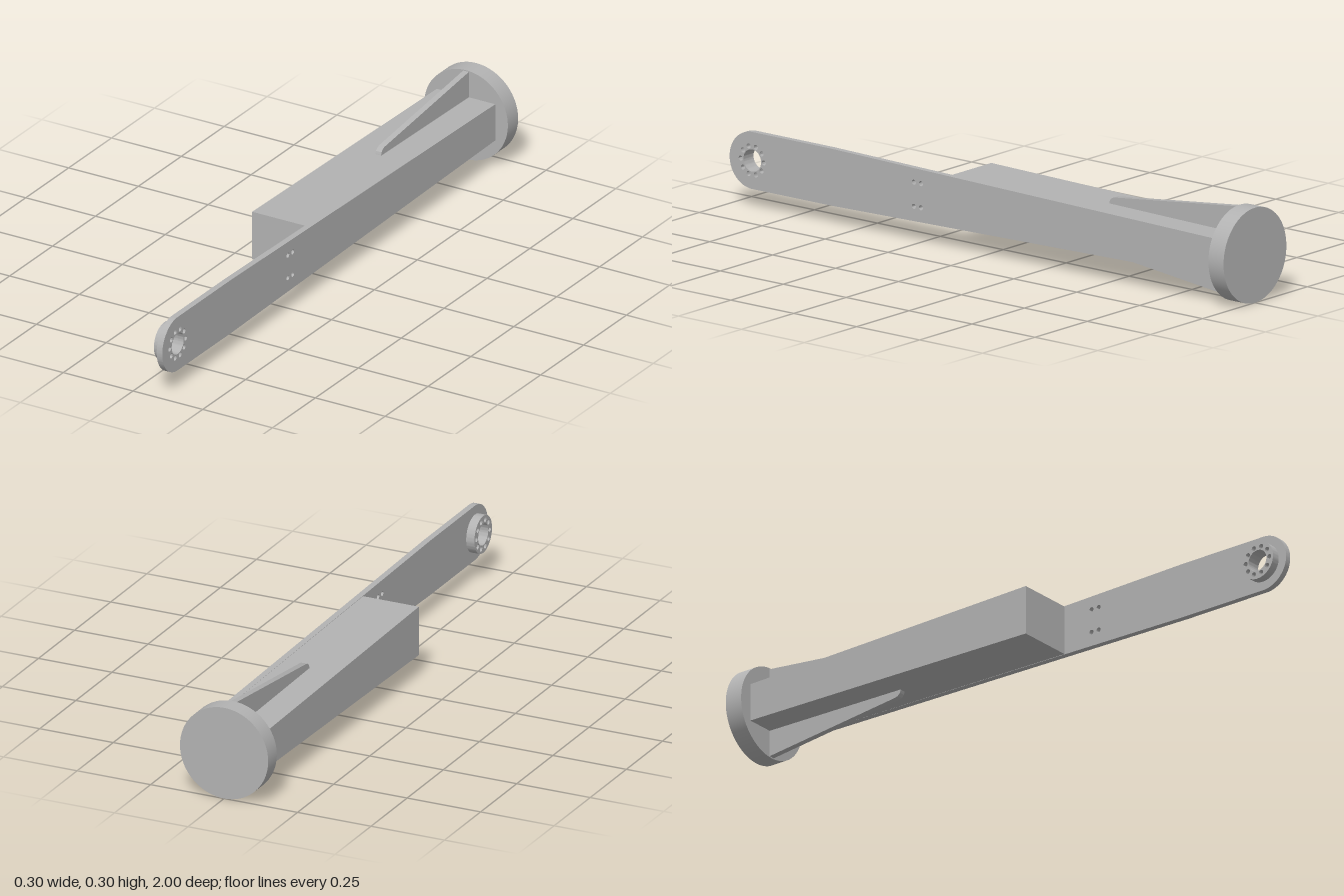
import * as THREE from 'three';
import { toCreasedNormals } from 'three/addons/utils/BufferGeometryUtils.js';

const CY = 0.15;       // height of the long axis
const PIVOT_Z = 0.91;  // centre of the bearing end

export function createModel() {
  const group = new THREE.Group();
  const metal = new THREE.MeshStandardMaterial({ color: 0xb2b2b2 });
  metal.name = 'grey metal';

  const add = (name, geometry) => {
    const mesh = new THREE.Mesh(geometry, metal);
    mesh.name = name;
    group.add(mesh);
  };

  // Extrudes a side profile drawn in (z, y) between two x positions
  const sideExtrude = (shape, x0, x1) => {
    const geo = new THREE.ExtrudeGeometry(shape, { depth: x1 - x0, bevelEnabled: false, curveSegments: 32 });
    geo.rotateY(-Math.PI / 2).translate(x1, 0, 0);
    return toCreasedNormals(geo, 0.6);
  };

  const hole = (shape, z, y, r) => {
    shape.holes.push(new THREE.Path().absarc(z, y, r, 0, Math.PI * 2, true));
  };

  // Bearing bore with its ring of bolt holes
  const bearingHoles = (shape) => {
    hole(shape, PIVOT_Z, CY, 0.035);
    for (let i = 0; i < 10; i++) {
      const a = (i / 10) * Math.PI * 2;
      hole(shape, PIVOT_Z + 0.046 * Math.cos(a), CY + 0.046 * Math.sin(a), 0.008);
    }
  };

  // Round end flange
  const flange = new THREE.CylinderGeometry(0.15, 0.15, 0.06, 96);
  flange.rotateX(Math.PI / 2).translate(0, CY, -0.97);
  add('endFlange', flange);

  // Solid tapered beam
  const beam = new THREE.Shape();
  beam.moveTo(-0.945, CY - 0.061);
  beam.lineTo(0.135, CY - 0.08);
  beam.lineTo(0.135, CY + 0.08);
  beam.lineTo(-0.945, CY + 0.061);
  add('beam', sideExtrude(beam, -0.105, 0.085));

  // Long side plate with a rounded bearing end
  const plate = new THREE.Shape();
  plate.moveTo(-0.945, CY - 0.061);
  plate.lineTo(0.6, CY - 0.09);
  plate.lineTo(PIVOT_Z, CY - 0.09);
  plate.absarc(PIVOT_Z, CY, 0.09, -Math.PI / 2, Math.PI / 2, false);
  plate.lineTo(0.6, CY + 0.09);
  plate.lineTo(-0.945, CY + 0.061);
  bearingHoles(plate);
  for (const z of [0.24, 0.268]) {
    for (const y of [0.113, 0.189]) hole(plate, z, y, 0.008);
  }
  add('sidePlate', sideExtrude(plate, 0.085, 0.105));

  // Bearing hub on the inner face of the plate
  const hub = new THREE.Shape();
  hub.absarc(PIVOT_Z, CY, 0.061, 0, Math.PI * 2, false);
  bearingHoles(hub);
  add('bearingHub', sideExtrude(hub, 0.057, 0.085));

  // Gusset ribs above and below the beam
  for (const [name, s] of [['upperRib', 1], ['lowerRib', -1]]) {
    const rib = new THREE.Shape();
    rib.moveTo(-0.945, CY + s * 0.05);
    rib.lineTo(-0.43, CY + s * 0.06);
    rib.lineTo(-0.43, CY + s * 0.074);
    rib.quadraticCurveTo(-0.433, CY + s * 0.088, -0.45, CY + s * 0.092);
    rib.lineTo(-0.945, CY + s * 0.147);
    add(name, sideExtrude(rib, -0.01, 0.01));
  }

  return group;
}
